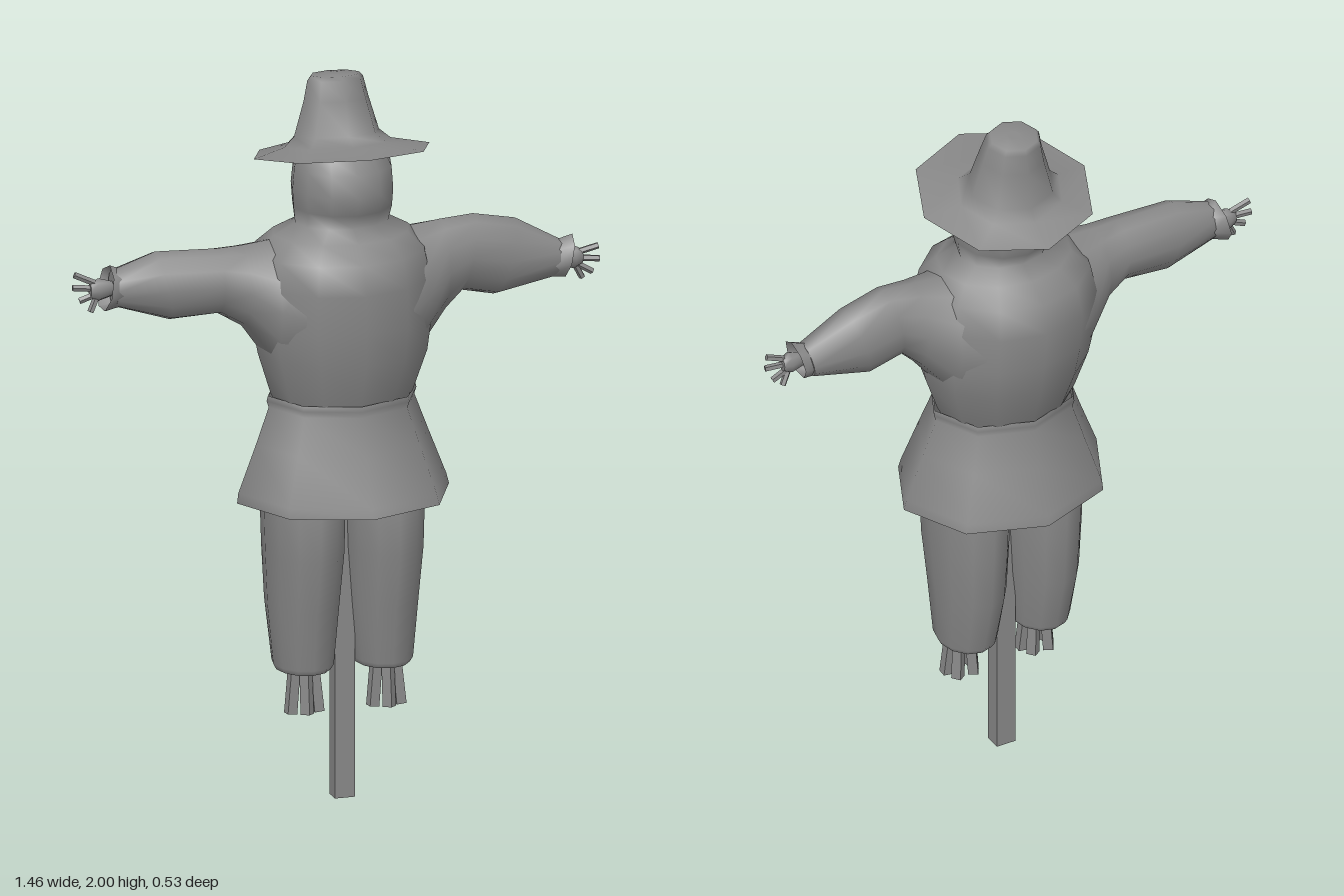
import * as THREE from 'three';

const COLOR = 0x888888;
const mat = new THREE.MeshStandardMaterial({ color: COLOR, side: THREE.DoubleSide });
const flatMat = new THREE.MeshStandardMaterial({ color: COLOR, flatShading: true });

function add(parent, name, geometry, material = mat) {
  const mesh = new THREE.Mesh(geometry, material);
  mesh.name = name;
  parent.add(mesh);
  return mesh;
}

// Skin over rings { c, u, v }: centre and two half-axis vectors.
function loft(rings, n, capStart = false, capEnd = false) {
  const pos = [], index = [];
  for (const { c, u, v } of rings) {
    for (let j = 0; j < n; j++) {
      const t = (j / n) * Math.PI * 2;
      pos.push(...c.clone().addScaledVector(u, Math.cos(t)).addScaledVector(v, Math.sin(t)).toArray());
    }
  }
  for (let i = 0; i < rings.length - 1; i++) {
    for (let j = 0; j < n; j++) {
      const k = (j + 1) % n, a = i * n, b = a + n;
      index.push(a + j, a + k, b + j, a + k, b + k, b + j);
    }
  }
  // Caps have their own vertices so that their edge stays sharp.
  const cap = (r, flip) => {
    const base = pos.length / 3;
    for (let j = 0; j < n * 3; j++) pos.push(pos[r * n * 3 + j]);
    for (let j = 1; j < n - 1; j++) {
      index.push(base, base + (flip ? j + 1 : j), base + (flip ? j : j + 1));
    }
  };
  if (capStart) cap(0, true);
  if (capEnd) cap(rings.length - 1, false);
  const g = new THREE.BufferGeometry();
  g.setAttribute('position', new THREE.Float32BufferAttribute(pos, 3));
  g.setIndex(index);
  g.computeVertexNormals();
  return g;
}

const V = (x, y, z) => new THREE.Vector3(x, y, z);

// Upright ring from its x and z limits; tilt is the rise per unit of z.
const upright = ([y, x0, x1, z0, z1, tilt = 0]) => ({
  c: V((x0 + x1) / 2, y, (z0 + z1) / 2),
  u: V((x1 - x0) / 2, 0, 0),
  v: V(0, -tilt * (z1 - z0) / 2, -(z1 - z0) / 2),
});

// Ring across an arm from its y and z limits.
const across = (side) => ([x, y0, y1, z0, z1, lean = 0]) => ({
  c: V(side * x, (y0 + y1) / 2, (z0 + z1) / 2),
  u: V(side * lean, (y1 - y0) / 2, 0),
  v: V(0, 0, side * (z1 - z0) / 2),
});

function stick(parent, name, from, to, r0, r1, sides = 5) {
  const a = V(...from), d = V(...to).sub(a);
  const mesh = add(parent, name, new THREE.CylinderGeometry(r1, r0, d.length(), sides), flatMat);
  mesh.position.copy(a).addScaledVector(d, 0.5);
  mesh.quaternion.setFromUnitVectors(V(0, 1, 0), d.normalize());
}

function arm(root, name, side, sleeve, cuff, wrist, tips) {
  const group = new THREE.Group();
  group.name = name;
  root.add(group);
  add(group, 'sleeve', loft(sleeve.map(across(side)), 12, false, true));
  add(group, 'cuff', loft(cuff.map(across(side)), 7));
  // Small palm with straw fingers
  const [x, y, z] = wrist;
  const palm = [[x - 0.04, 0.02], [x, 0.032], [x + 0.022, 0.02]];
  add(group, 'palm', loft(palm.map(([px, r]) => across(side)([px, y - r, y + r, z - r * 0.7, z + r * 0.7])), 8, true, true));
  tips.forEach(([tx, ty, tz]) => stick(group, 'finger',
    [side * (x + 0.005), y + (ty - y) * 0.4, z], [side * tx, ty, tz], 0.009, 0.009));
}

export function createModel() {
  const root = new THREE.Group();
  root.name = 'scarecrow';

  // Square support pole
  const pole = add(root, 'pole', new THREE.BoxGeometry(0.056, 1.1, 0.048), flatMat);
  pole.position.set(0.012, 0.55, 0.002);

  // Trouser legs with straw feet
  for (const [name, s, cx] of [['leftLeg', 1, 0.122], ['rightLeg', -1, -0.1]]) {
    const leg = new THREE.Group();
    leg.name = name;
    root.add(leg);
    const rows = [
      [0.37, 0.074, -0.085, 0.095], [0.385, 0.082, -0.095, 0.105], [0.55, 0.096, -0.138, 0.132],
      [0.7, 0.105, -0.15, 0.162], [0.84, 0.109, -0.155, 0.165], [1.0, 0.1, -0.13, 0.13],
    ];
    add(leg, 'trouserLeg', loft(rows.map(([y, r, z0, z1]) => upright([y, cx - r, cx + r, z0, z1])), 12, true));
    for (let i = 0; i < 5; i++) {
      const t = (i / 5) * Math.PI * 2 + 0.3;
      const dx = Math.cos(t), dz = Math.sin(t);
      stick(leg, 'strawFoot', [cx + s * 0.004 + dx * 0.024, 0.42, 0.02 + dz * 0.018],
        [cx + s * 0.004 + dx * 0.041, 0.252, 0.023 + dz * 0.032], 0.018, 0.019, 4);
    }
  }

  // Coat skirt, open below, ending in a slight ridge at the waist
  add(root, 'coatSkirt', loft([
    [0.842, -0.284, 0.31, -0.252, 0.264], [0.87, -0.28, 0.303, -0.248, 0.257],
    [1.0, -0.23, 0.252, -0.206, 0.212], [1.1, -0.194, 0.214, -0.17, 0.174],
    [1.118, -0.2, 0.22, -0.176, 0.18], [1.132, -0.196, 0.216, -0.172, 0.176],
  ].map(upright), 8));

  // Coat from the waist up, running through the neck into the sack head
  add(root, 'coatAndHead', loft([
    [1.09, -0.165, 0.185, -0.145, 0.148], [1.14, -0.189, 0.21, -0.168, 0.17],
    [1.25, -0.222, 0.25, -0.212, 0.203], [1.34, -0.24, 0.264, -0.226, 0.21],
    [1.45, -0.242, 0.26, -0.237, 0.22], [1.53, -0.227, 0.242, -0.215, 0.204],
    [1.575, -0.178, 0.198, -0.16, 0.15], [1.605, -0.118, 0.142, -0.112, 0.104],
    [1.65, -0.123, 0.148, -0.138, 0.135], [1.7, -0.126, 0.151, -0.145, 0.142],
    [1.76, -0.122, 0.147, -0.13, 0.132], [1.8, -0.108, 0.13, -0.115, 0.1],
  ].map(upright), 12, false, true));

  // Arms, each row: x, y limits, z limits, lean; the roots hug the coat
  arm(root, 'leftArm', 1,
    [[0.16, 1.2, 1.568, -0.18, 0.165], [0.215, 1.23, 1.568, -0.145, 0.13], [0.29, 1.325, 1.576, -0.1, 0.086],
      [0.36, 1.375, 1.583, -0.08, 0.07, 0.02], [0.47, 1.352, 1.558, -0.08, 0.06, 0.03],
      [0.615, 1.388, 1.488, -0.048, 0.042, 0.01]],
    [[0.6, 1.388, 1.488, -0.045, 0.042, 0.01], [0.642, 1.385, 1.502, -0.045, 0.055, 0.014]],
    [0.66, 1.438, 0.008],
    [[0.724, 1.468, 0.02], [0.727, 1.432, 0.022], [0.71, 1.395, 0.012], [0.685, 1.378, 0.0]]);
  arm(root, 'rightArm', -1,
    [[0.14, 1.2, 1.568, -0.18, 0.165], [0.195, 1.23, 1.564, -0.14, 0.128], [0.27, 1.335, 1.558, -0.096, 0.092],
      [0.34, 1.378, 1.557, -0.075, 0.08], [0.49, 1.37, 1.562, -0.075, 0.062, 0.02],
      [0.625, 1.42, 1.522, -0.055, 0.035]],
    [[0.605, 1.42, 1.522, -0.055, 0.035], [0.645, 1.408, 1.532, -0.08, 0.045, -0.012]],
    [0.665, 1.466, -0.022],
    [[0.728, 1.51, -0.032], [0.732, 1.474, -0.034], [0.715, 1.438, -0.028], [0.688, 1.408, -0.015]]);

  // Tilted hat: wide faceted brim sweeping into a tapering crown
  add(root, 'hat', loft([
    [1.787, -0.228, 0.264, -0.262, 0.219, 0.178], [1.804, -0.135, 0.163, -0.18, 0.09, 0.18],
    [1.83, -0.106, 0.132, -0.158, 0.058, 0.17], [1.925, -0.077, 0.104, -0.14, 0.028, 0.15],
    [1.978, -0.064, 0.092, -0.134, 0.006, 0.15], [1.99, -0.054, 0.08, -0.126, -0.003, 0.14],
    [1.993, -0.005, 0.031, -0.083, -0.047, 0.14],
  ].map(upright), 8, false, true));

  return root;
}
